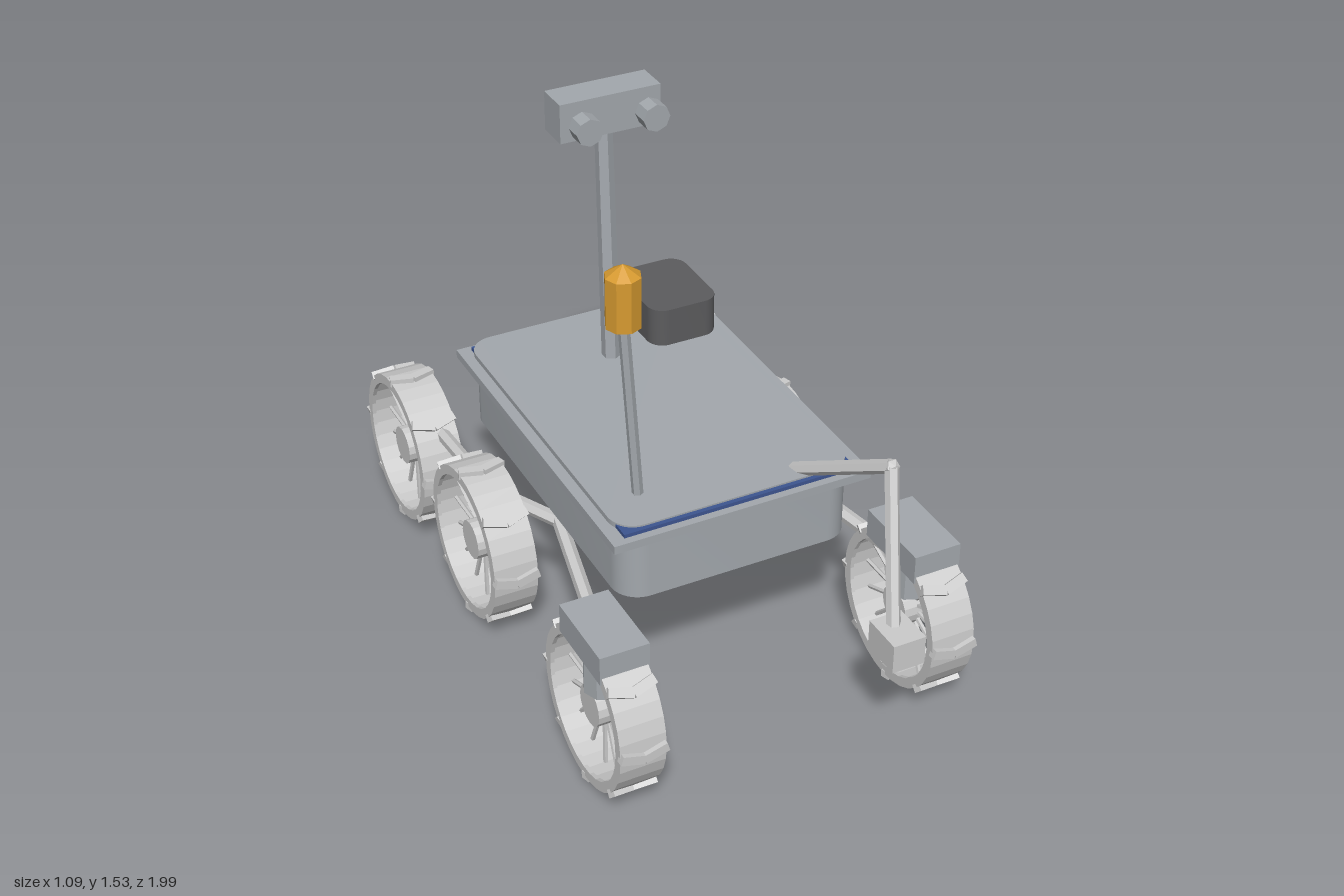
import * as THREE from 'three';
import { mergeGeometries, toCreasedNormals } from 'three/addons/utils/BufferGeometryUtils.js';

const V = (x, y, z) => new THREE.Vector3(x, y, z);
const mat = (color) => new THREE.MeshStandardMaterial({ color, flatShading: true });
const grey = mat(0xcccccc);
const hull = mat(0xa3a8ad);
const dark = mat(0x5c5c5e);
const blue = mat(0x3d5590);
const gold = mat(0xd69a30);

function add(parent, name, geometry, material, x = 0, y = 0, z = 0) {
  const mesh = new THREE.Mesh(geometry, material);
  mesh.name = name;
  mesh.position.set(x, y, z);
  parent.add(mesh);
  return mesh;
}

// Box given by its two opposite corners
function block(parent, name, material, [x0, y0, z0], [x1, y1, z1]) {
  return add(parent, name, new THREE.BoxGeometry(x1 - x0, y1 - y0, z1 - z0), material,
    (x0 + x1) / 2, (y0 + y1) / 2, (z0 + z1) / 2);
}

// Upright slab with rounded vertical corners
function roundedSlab(parent, name, material, [x0, y0, z0], [x1, y1, z1], r) {
  const w = (x1 - x0) / 2, d = (z1 - z0) / 2;
  const s = new THREE.Shape();
  s.absarc(w - r, d - r, r, 0, Math.PI / 2);
  s.absarc(-w + r, d - r, r, Math.PI / 2, Math.PI);
  s.absarc(-w + r, -d + r, r, Math.PI, Math.PI * 1.5);
  s.absarc(w - r, -d + r, r, Math.PI * 1.5, Math.PI * 2);
  const g = new THREE.ExtrudeGeometry(s, { depth: y1 - y0, bevelEnabled: false, curveSegments: 5 });
  g.rotateX(-Math.PI / 2);
  const m = material.clone();
  m.flatShading = false;
  return add(parent, name, toCreasedNormals(g, 0.6), m, (x0 + x1) / 2, y0, (z0 + z1) / 2);
}

// Straight bar between two points
function bar(parent, name, material, a, b, r, sides = 6, rEnd = r) {
  const mesh = add(parent, name, new THREE.CylinderGeometry(rEnd, r, a.distanceTo(b), sides), material);
  mesh.position.copy(a).lerp(b, 0.5);
  mesh.quaternion.setFromUnitVectors(V(0, 1, 0), b.clone().sub(a).normalize());
  return mesh;
}

// Open rim with spokes, hub and eight chevron cleats; the axle runs along x
function wheelParts() {
  const half = 0.067, outer = 0.235, lip = 0.205, inner = 0.217;
  const profile = [[lip, -half], [outer, -half], [outer, half], [lip, half],
    [lip, half - 0.012], [inner, half - 0.012], [inner, -half + 0.012], [lip, -half + 0.012], [lip, -half]]
    .map(([r, y]) => new THREE.Vector2(r, y));
  const rim = new THREE.LatheGeometry(profile, 32).rotateZ(Math.PI / 2);

  const hub = new THREE.CylinderGeometry(0.06, 0.06, 0.09, 16).rotateZ(Math.PI / 2);
  const spokes = [];
  for (let i = 0; i < 16; i++) {
    const g = new THREE.CylinderGeometry(0.007, 0.007, 0.17, 5);
    spokes.push(g.translate(0, 0.137, 0).rotateX(i * Math.PI / 8));
  }
  const cleats = [];
  for (let i = 0; i < 8; i++) {
    for (const s of [-1, 1]) {
      const g = new THREE.BoxGeometry(0.071, 0.024, 0.028);
      g.rotateY(s * 0.28).translate(s * 0.033, 0.236, 0);
      cleats.push(g.rotateX(i * Math.PI / 4));
    }
  }
  return { rim, hub, spokes: mergeGeometries(spokes), cleats: mergeGeometries(cleats) };
}

export function createModel() {
  const model = new THREE.Group();
  model.name = 'rover';

  // Hull, deck rim, panel and deck plate
  const body = new THREE.Group();
  body.name = 'body';
  model.add(body);
  roundedSlab(body, 'hull', hull, [-0.355, 0.452, -0.552], [0.355, 0.655, 0.502], 0.08);
  block(body, 'deckRim', hull, [-0.392, 0.645, -0.56], [0.39, 0.67, 0.526]);
  block(body, 'solarPanel', blue, [-0.352, 0.668, -0.54], [0.352, 0.681, 0.503]);
  roundedSlab(body, 'deckPlate', hull, [-0.36, 0.67, -0.56], [0.36, 0.686, 0.49], 0.075);
  roundedSlab(body, 'powerUnit', dark, [0.127, 0.68, -0.555], [0.345, 0.806, -0.28], 0.05);

  // Camera mast
  const mast = new THREE.Group();
  mast.name = 'mast';
  model.add(mast);
  bar(mast, 'mastPole', hull, V(0, 0.67, -0.31), V(0, 1.44, -0.345), 0.029, 6, 0.026);
  block(mast, 'cameraHead', hull, [-0.156, 1.422, -0.392], [0.152, 1.54, -0.29]);
  for (const s of [-1, 1]) {
    const g = new THREE.CylinderGeometry(0.041, 0.041, 0.054, 8).rotateX(Math.PI / 2);
    add(mast, 'cameraLens', g, hull, s * 0.101, 1.48, -0.237);
  }

  // Antenna with a pointed cap
  const antenna = new THREE.Group();
  antenna.name = 'antenna';
  model.add(antenna);
  bar(antenna, 'antennaPole', hull, V(-0.238, 0.67, 0.352), V(-0.277, 1.24, 0.352), 0.016);
  add(antenna, 'antennaCan', new THREE.CylinderGeometry(0.05, 0.05, 0.148, 8), gold, -0.277, 1.3, 0.352);
  add(antenna, 'antennaCap', new THREE.ConeGeometry(0.05, 0.032, 8), gold, -0.277, 1.39, 0.352);

  // Sampling arm
  const arm = new THREE.Group();
  arm.name = 'arm';
  model.add(arm);
  const elbow = V(0.308, 0.85, 0.75);
  bar(arm, 'upperArm', grey, V(0.2, 0.675, 0.43), elbow, 0.02);
  bar(arm, 'forearm', grey, elbow, V(0.235, 0.45, 0.92), 0.02);
  add(arm, 'elbowJoint', new THREE.IcosahedronGeometry(0.022), grey, elbow.x, elbow.y, elbow.z);
  block(arm, 'armTool', grey, [0.187, 0.38, 0.875], [0.285, 0.468, 1.0]);

  // Wheels and suspension on both sides
  const parts = wheelParts();
  for (const s of [-1, 1]) {
    for (const [name, z] of [['frontWheel', 0.627], ['middleWheel', -0.195], ['rearWheel', -0.742]]) {
      const wheel = new THREE.Group();
      wheel.name = name;
      wheel.position.set(s * 0.474, 0.254, z);
      for (const key of Object.keys(parts)) add(wheel, key, parts[key], grey);
      model.add(wheel);
    }

    const side = new THREE.Group();
    side.name = 'suspension';
    model.add(side);
    const pivot = V(s * 0.34, 0.425, 0.05);
    const bogie = V(s * 0.45, 0.412, -0.2);
    const rear = V(s * 0.452, 0.37, -0.755);
    bar(side, 'frontRocker', grey, V(s * 0.46, 0.402, 0.6), pivot, 0.021);
    bar(side, 'rearRocker', grey, pivot, bogie, 0.021);
    bar(side, 'bogieBeam', grey, bogie, rear, 0.021);
    bar(side, 'rearStrut', grey, rear.clone().setY(0.385), V(s * 0.46, 0.27, -0.745), 0.013);
    bar(side, 'middleStrut', grey, bogie, V(s * 0.46, 0.27, -0.195), 0.011);

    // Steering gear over the front wheel
    add(side, 'steeringBox', new THREE.BoxGeometry(0.144, 0.088, 0.25), hull, s * 0.474, 0.475, 0.63);
    add(side, 'steeringPost', new THREE.CylinderGeometry(0.06, 0.06, 0.14, 8), hull, s * 0.474, 0.375, 0.627);
  }

  return model;
}
